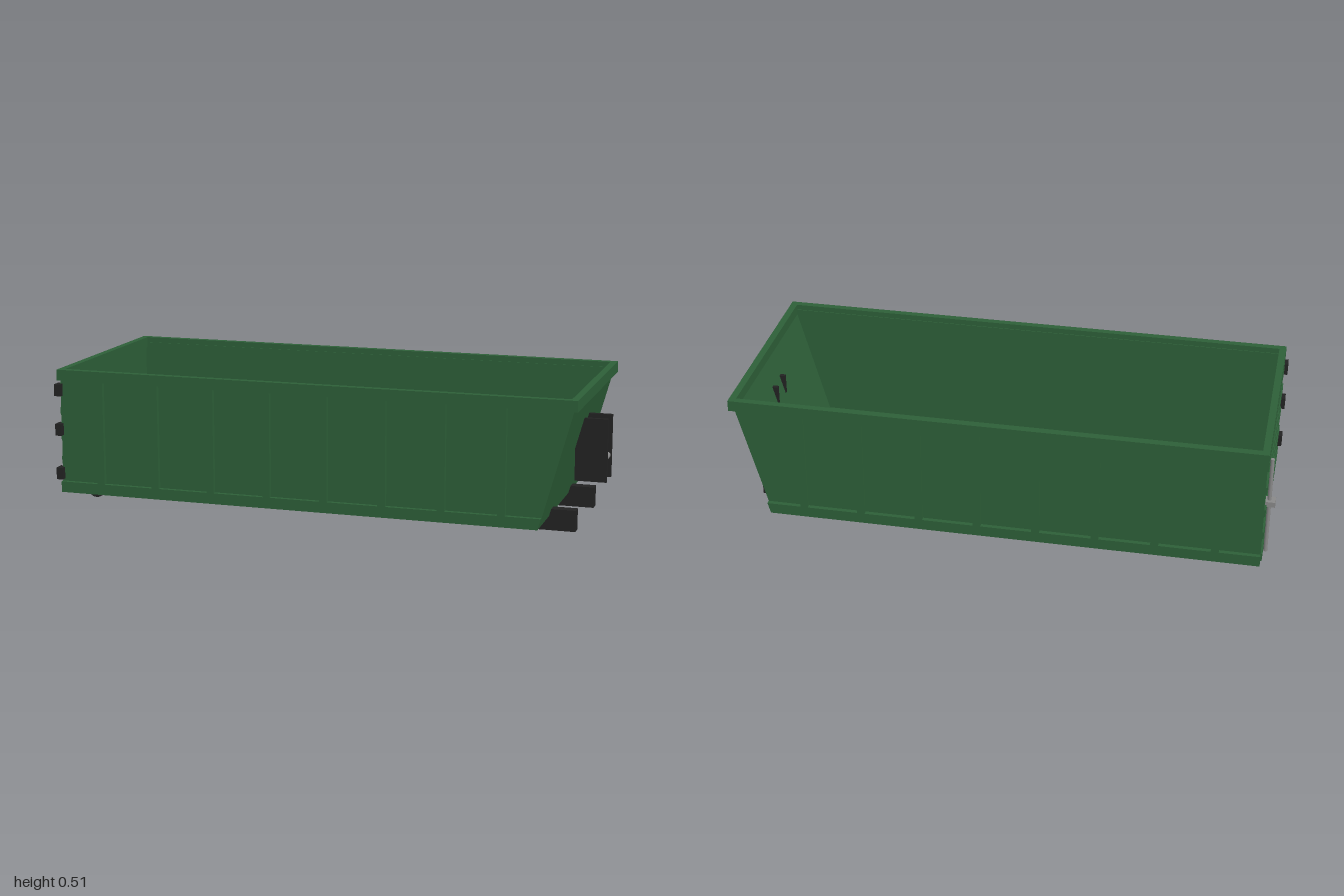
import * as THREE from 'three';

const green = new THREE.MeshStandardMaterial({ color: 0x2d5f38 });
const black = new THREE.MeshStandardMaterial({ color: 0x222222 });
const steel = new THREE.MeshStandardMaterial({ color: 0x888888 });

export function createModel() {
  const model = new THREE.Group();

  const add = (name, geometry, material) => {
    const mesh = new THREE.Mesh(geometry, material);
    mesh.name = name;
    model.add(mesh);
    return mesh;
  };

  // Box given by its limits on each axis
  const box = (name, [x0, x1], [y0, y1], [z0, z1], material = green) => {
    const mesh = add(name, new THREE.BoxGeometry(x1 - x0, y1 - y0, z1 - z0), material);
    mesh.position.set((x0 + x1) / 2, (y0 + y1) / 2, (z0 + z1) / 2);
    return mesh;
  };

  // Side profile (x, y) extruded from z0 to z1
  const plate = (name, points, z0, z1, material = green) => {
    const shape = new THREE.Shape(points.map(([x, y]) => new THREE.Vector2(x, y)));
    const geometry = new THREE.ExtrudeGeometry(shape, { depth: z1 - z0, bevelEnabled: false });
    geometry.translate(0, 0, z0);
    return add(name, geometry, material);
  };

  // Round bar along z
  const bar = (name, radius, length, x, y, z, material) => {
    const geometry = new THREE.CylinderGeometry(radius, radius, length, 24);
    geometry.rotateX(Math.PI / 2);
    add(name, geometry, material).position.set(x, y, z);
  };

  // Sloping front end: x of its outer face at height y
  const slope = (y) => 0.825 + (y - 0.05) * 0.274;

  // Open-topped body
  box('floor', [-0.965, 0.825], [0.05, 0.062], [-0.38, 0.38]);
  plate('frontWall', [
    [slope(0.05) - 0.01, 0.05], [slope(0.05), 0.05],
    [slope(0.49), 0.49], [slope(0.49) - 0.01, 0.49],
  ], -0.38, 0.38);

  for (const side of [-1, 1]) {
    const sidePlate = (name, points, inner, outer) => side > 0
      ? plate(name, points, inner, outer)
      : plate(name, points, -outer, -inner);
    const band = (y0, y1) => [[-0.965, y0], [slope(y0), y0], [slope(y1), y1], [-0.965, y1]];
    sidePlate('sideWall', band(0.05, 0.49), 0.372, 0.38);
    sidePlate('bottomRail', band(0.05, 0.09), 0.379, 0.396);

    // Upright ribs
    for (let i = 0; i < 8; i++) {
      const x = -0.805 + i * 0.2145;
      sidePlate('sideRib', [
        [x - 0.014, 0.09], [x + 0.014, 0.09], [x + 0.014, 0.475], [x - 0.014, 0.475],
      ], 0.379, 0.396);
    }
    const z = [0.375, 0.4].map((v) => v * side).sort((a, b) => a - b);
    box('sideRim', [-0.97, 0.955], [0.47, 0.51], z);
  }
  box('rearRim', [-0.97, -0.945], [0.47, 0.51], [-0.375, 0.375]);
  box('frontRim', [0.93, 0.955], [0.47, 0.51], [-0.375, 0.375]);

  // Rear door with horizontal ribs
  box('rearDoor', [-0.962, -0.95], [0.055, 0.48], [-0.38, 0.38]);
  for (let i = 0; i < 5; i++) {
    const y = 0.075 + i * 0.092;
    box('doorRib', [-0.97, -0.96], [y - 0.014, y + 0.014], [-0.375, 0.375]);
  }

  // Hinges on one edge, latch rod on the other
  for (const y of [0.12, 0.285, 0.433]) {
    box('doorHinge', [-0.982, -0.957], [y - 0.022, y + 0.022], [0.36, 0.4], black);
  }
  const rod = add('latchRod', new THREE.CylinderGeometry(0.007, 0.007, 0.38, 16), steel);
  rod.position.set(-0.978, 0.26, -0.32);
  box('latchHandle', [-1, -0.965], [0.265, 0.285], [-0.34, -0.3], steel);

  // Skid rails, their raised front ends and rear rollers
  for (const side of [-1, 1]) {
    const c = side * 0.178;
    const span = [c - 0.0195, c + 0.0195];
    box('skidRail', [-0.94, 0.92], [0, 0.05], span, black);
    box('skidRailNose', [0.822, 0.92], [0.04, 0.077], span, black);
    bar('rearRoller', 0.035, 0.046, -0.895, 0.035, side * 0.224, black);
  }
  bar('rollerAxle', 0.012, 0.44, -0.895, 0.03, 0, steel);
  for (let i = 0; i < 7; i++) {
    const x = -0.82 + i * 0.2625;
    box('crossMember', [x - 0.0125, x + 0.0125], [0.02, 0.051], [-0.232, 0.232], black);
  }

  // Lifting lug: two plates and a pickup bar
  for (const z of [-0.045, 0.045]) {
    box('lugPlate', [0.885, 1], [0.15, 0.38], [z - 0.007, z + 0.007], black);
  }
  bar('pickupBar', 0.012, 0.084, 0.985, 0.231, 0, steel);

  return model;
}
